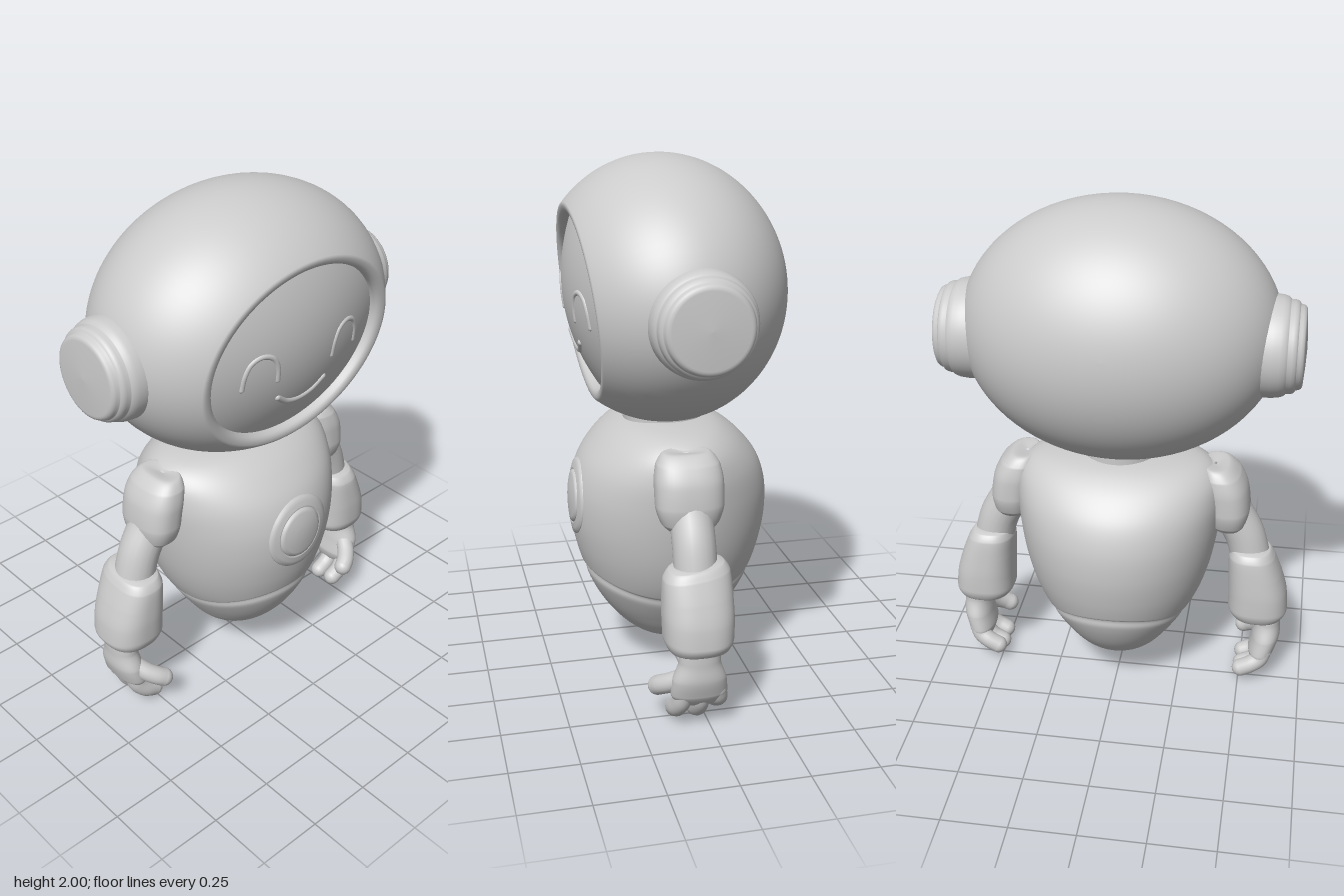
import * as THREE from 'three';
import { mergeGeometries } from 'three/addons/utils/BufferGeometryUtils.js';
import { ParametricGeometry } from 'three/addons/geometries/ParametricGeometry.js';

const V = (x, y, z) => new THREE.Vector3(x, y, z);
const material = new THREE.MeshStandardMaterial({ color: 0xcccccc, roughness: 0.6 });

function part(name, geometry, parent) {
  const mesh = new THREE.Mesh(geometry, material);
  mesh.name = name;
  parent.add(mesh);
}

const lathe = (pts, seg = 64) => new THREE.LatheGeometry(pts.map(([r, y]) => new THREE.Vector2(r, y)), seg);

// Smooth skin through cross-sections [cx, y, cz, rx, rz], listed bottom to top
function skin(rows, n = 2, around = 40, along = 40) {
  const centre = new THREE.CatmullRomCurve3(rows.map(r => V(r[0], r[1], r[2])));
  const size = new THREE.CatmullRomCurve3(rows.map(r => V(r[3], r[4], 0)));
  return new ParametricGeometry((u, v, out) => {
    const s = Math.sin(u * 2 * Math.PI), c = Math.cos(u * 2 * Math.PI);
    const k = (Math.abs(s) ** n + Math.abs(c) ** n) ** (-1 / n);
    const p = centre.getPoint(v), q = size.getPoint(v);
    out.set(p.x + q.x * s * k, p.y, p.z + q.y * c * k);
  }, around, along);
}

// Round tube with ball ends
function limb(points, r) {
  const ball = p => new THREE.SphereGeometry(r, 20, 14).translate(p.x, p.y, p.z);
  const tube = new THREE.TubeGeometry(new THREE.CatmullRomCurve3(points), 24, r, 20);
  return mergeGeometries([tube, ball(points[0]), ball(points[points.length - 1])]);
}

// ---- Torso: oval sections (half width, height, half depth) ----
const TORSO_Z = 0.025;
const torsoCurve = new THREE.CatmullRomCurve3([
  [0.001, 0.105, 0.001], [0.085, 0.12, 0.085], [0.16, 0.17, 0.165], [0.222, 0.25, 0.24],
  [0.279, 0.34, 0.296], [0.321, 0.42, 0.329], [0.356, 0.52, 0.36], [0.382, 0.64, 0.38],
  [0.397, 0.76, 0.376], [0.402, 0.86, 0.342], [0.388, 0.94, 0.278], [0.335, 0.992, 0.21],
  [0.2, 1.02, 0.13], [0.001, 1.025, 0.001],
].map(p => V(...p)));

function torsoShell(isPelvis) {
  return new ParametricGeometry((u, v, out) => {
    const s = Math.sin(u * 2 * Math.PI), c = Math.cos(u * 2 * Math.PI);
    const seam = (4.15 + 0.95 * c * c) / 13;
    const t = isPelvis ? seam * (1 - (1 - v) ** 1.6) : seam + (1 - seam) * v ** 1.6;
    const p = torsoCurve.getPoint(t);
    const tuck = 1 - 0.03 * Math.exp(-(((t - seam) / (isPelvis ? 0.02 : 0.006)) ** 2));
    out.set(p.x * tuck * s, p.y, TORSO_Z + p.z * tuck * c);
  }, 72, 64);
}

// Front surface of the torso at a given x, y
function torsoFront(x, y) {
  let lo = 0, hi = 1;
  for (let i = 0; i < 24; i++) {
    const mid = (lo + hi) / 2;
    if (torsoCurve.getPoint(mid).y < y) lo = mid; else hi = mid;
  }
  const p = torsoCurve.getPoint(lo);
  return TORSO_Z + p.z * Math.sqrt(Math.max(0, 1 - (x / p.x) ** 2));
}

// Round badge that follows the chest: rows of [radius, lift]
function chestPatch(rows) {
  return new ParametricGeometry((u, v, out) => {
    const f = Math.min(v, 0.99999) * (rows.length - 1), i = Math.floor(f);
    const r = THREE.MathUtils.lerp(rows[i][0], rows[i + 1][0], f - i);
    const lift = THREE.MathUtils.lerp(rows[i][1], rows[i + 1][1], f - i);
    const x = r * Math.sin(-u * 2 * Math.PI), y = 0.71 + r * Math.cos(u * 2 * Math.PI);
    out.set(x, y, torsoFront(x, y) + lift);
  }, 56, (rows.length - 1) * 2);
}

// ---- Head: turned in unit-sphere space, then tilted and stretched ----
const HEAD = { c: V(0, 1.507, 0.05), s: V(0.6, 0.493, 0.46) };
const headSpace = g => g.rotateX(1.696).scale(HEAD.s.x, HEAD.s.y, HEAD.s.z).translate(HEAD.c.x, HEAD.c.y, HEAD.c.z);
const OPENING = 0.66;
const domeHeight = r2 => 0.6 + 0.18 * (1 - r2 / OPENING ** 2);

// Point on the domed face screen at a given x, y, sunk slightly
function onScreen(x, y) {
  const X = x / HEAD.s.x, Y = (y - HEAD.c.y) / HEAD.s.y;
  let Z = 0.7;
  for (let i = 0; i < 8; i++) {
    const t = 0.992 * Y + 0.125 * Z;
    Z = (domeHeight(X * X + t * t) + 0.125 * Y) / 0.992;
  }
  return V(x, y, HEAD.c.z + HEAD.s.z * Z - 0.005);
}

function buildHead(parent) {
  const shell = [];
  const end = Math.acos(-0.67);
  for (let i = 0; i <= 48; i++) {
    const a = (i / 48) * end;
    shell.push([Math.sin(a), -Math.cos(a)]);
  }
  shell.push([0.733, 0.677], [0.72, 0.68], [0.7, 0.678], [0.682, 0.67], [0.669, 0.655], [0.662, 0.635], [OPENING, 0.57]);
  part('headShell', headSpace(lathe(shell, 80)), parent);

  const screen = [];
  for (let i = 0; i <= 20; i++) {
    const r = (OPENING + 0.004) * (1 - i / 20);
    screen.push([r, domeHeight(r * r)]);
  }
  part('faceScreen', headSpace(lathe(screen, 80)), parent);

  // Smiling eyes and mouth
  for (const s of [-1, 1]) {
    const eye = [[-0.07, 1.425], [-0.064, 1.48], [-0.042, 1.522], [0, 1.538], [0.042, 1.522], [0.064, 1.48], [0.07, 1.425]];
    part(s > 0 ? 'leftEye' : 'rightEye', limb(eye.map(([x, y]) => onScreen(s * 0.202 + x, y)), 0.011), parent);
  }
  const mouth = [[-0.112, 1.338], [-0.06, 1.302], [0, 1.29], [0.06, 1.302], [0.112, 1.338]];
  part('mouth', limb(mouth.map(([x, y]) => onScreen(x, y)), 0.013), parent);

  // Stepped ear caps
  for (const s of [-1, 1]) {
    const ear = lathe([[0.19, 0.45], [0.19, 0.56], [0.187, 0.59], [0.182, 0.606], [0.175, 0.615], [0.172, 0.617],
      [0.172, 0.632], [0.168, 0.644], [0.16, 0.65], [0.157, 0.651], [0.155, 0.662], [0.15, 0.671],
      [0.142, 0.675], [0.135, 0.676], [0.07, 0.681], [0, 0.684]], 56);
    ear.rotateZ(-s * Math.PI / 2).translate(0, 1.485, 0.025);
    part(s > 0 ? 'leftEar' : 'rightEar', ear, parent);
  }
}

function buildArm(side, parent) {
  const arm = new THREE.Group();
  arm.name = side > 0 ? 'leftArm' : 'rightArm';
  parent.add(arm);
  const P = (x, y, z) => V(side * x, y, z);
  const mirrored = rows => rows.map(([x, ...rest]) => [side * x, ...rest]);

  part('shoulder', skin(mirrored([
    [0.425, 0.725, 0.038, 0.01, 0.01], [0.43, 0.702, 0.038, 0.045, 0.06], [0.43, 0.735, 0.038, 0.072, 0.105],
    [0.428, 0.8, 0.038, 0.084, 0.125], [0.415, 0.88, 0.038, 0.086, 0.126], [0.395, 0.945, 0.038, 0.076, 0.116],
    [0.375, 0.983, 0.038, 0.045, 0.08], [0.37, 0.975, 0.038, 0.005, 0.01],
  ]), 2.5, 44, 48), arm);

  part('upperArm', limb([P(0.445, 0.765, 0.038), P(0.495, 0.67, 0.038), P(0.53, 0.54, 0.038)], 0.079), arm);

  // Forearm cuff, with its top edge higher at the back
  const cuff = skin(mirrored([
    [0.565, 0.32, 0.038, 0.02, 0.03], [0.565, 0.297, 0.038, 0.07, 0.08], [0.565, 0.31, 0.038, 0.103, 0.11],
    [0.563, 0.345, 0.038, 0.119, 0.126], [0.558, 0.42, 0.038, 0.116, 0.129], [0.545, 0.5, 0.038, 0.106, 0.127],
    [0.53, 0.575, 0.038, 0.092, 0.121], [0.525, 0.607, 0.038, 0.075, 0.1], [0.522, 0.614, 0.038, 0.05, 0.07],
    [0.522, 0.59, 0.038, 0.02, 0.02],
  ]), 2.5, 48, 60);
  const pos = cuff.attributes.position;
  for (let i = 0; i < pos.count; i++) {
    const k = THREE.MathUtils.smoothstep(pos.getY(i), 0.4, 0.6);
    pos.setY(i, pos.getY(i) - k * 0.15 * (pos.getZ(i) - 0.038));
  }
  part('forearmCuff', cuff, arm);

  // Hand: palm, three curled fingers and a forward thumb
  part('palm', skin(mirrored([
    [0.575, 0.085, 0.035, 0.003, 0.003], [0.578, 0.095, 0.035, 0.032, 0.07], [0.588, 0.14, 0.04, 0.054, 0.105],
    [0.602, 0.2, 0.043, 0.057, 0.1], [0.607, 0.27, 0.043, 0.052, 0.077], [0.605, 0.34, 0.043, 0.053, 0.075],
  ]), 2.2, 32, 32), arm);
  [[-0.025, -0.04, 0.03], [0.035, 0.035, 0], [0.095, 0.112, 0.006]].forEach(([z0, z1, up], i) => {
    part('finger' + (i + 1), limb([P(0.598, 0.15, z0), P(0.583, 0.1 + up * 0.5, (z0 + z1) / 2),
      P(0.55, 0.06 + up, z1), P(0.51, 0.038 + up, z1)], 0.035), arm);
  });
  part('thumb', limb([P(0.59, 0.2, 0.1), P(0.56, 0.172, 0.14), P(0.53, 0.152, 0.165), P(0.507, 0.138, 0.175)], 0.036), arm);
}

export function createModel() {
  const model = new THREE.Group();
  model.name = 'robot';
  const robot = new THREE.Group();
  robot.name = 'robotBody';
  robot.rotation.y = Math.PI / 2; // built facing +z, turned to face +x
  model.add(robot);

  buildHead(robot);
  part('neck', new THREE.CylinderGeometry(0.155, 0.155, 0.12, 48).translate(0, 1.0, 0.04), robot);
  part('torso', torsoShell(false), robot);
  part('pelvis', torsoShell(true), robot);
  part('chestRing', chestPatch([[0.148, -0.006], [0.147, 0.001], [0.143, 0.004], [0.108, 0.004], [0.104, 0.002], [0.1, -0.004]]), robot);
  part('chestButton', chestPatch([[0.102, -0.006], [0.101, 0.001], [0.097, 0.005], [0.07, 0.006], [0.035, 0.007], [0.0005, 0.007]]), robot);
  for (const side of [-1, 1]) buildArm(side, robot);
  return model;
}
